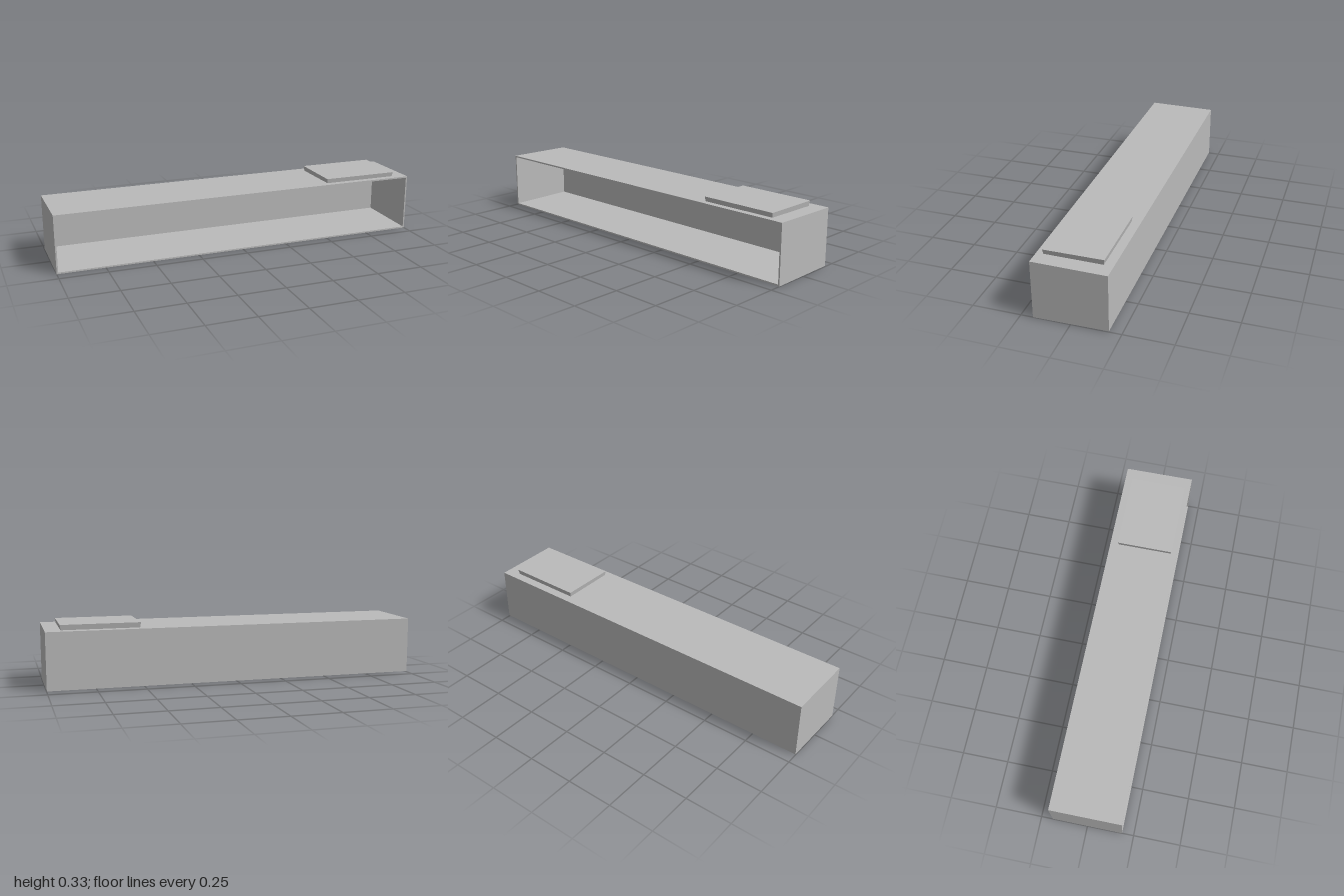
import * as THREE from 'three';

const LENGTH = 2, DEPTH = 0.376, BOTTOM = 0.003, TOP = 0.307, WALL = 0.008;

// Rectangle path, usable as an outline or as a hole
function rect(path, x0, y0, x1, y1) {
  path.moveTo(x0, y0).lineTo(x1, y0).lineTo(x1, y1).lineTo(x0, y1).closePath();
  return path;
}

// Move every vertex of a geometry by a rule
function reshape(geometry, rule) {
  const p = geometry.attributes.position, v = new THREE.Vector3();
  for (let i = 0; i < p.count; i++) {
    rule(v.fromBufferAttribute(p, i));
    p.setXYZ(i, v.x, v.y, v.z);
  }
  geometry.computeVertexNormals();
  return geometry;
}

// Top and bottom open very slightly toward the front
const splay = v => { v.y += Math.sign(v.y - 0.15) * 0.011 * v.z; };

export function createModel() {
  const group = new THREE.Group();
  const grey = new THREE.MeshStandardMaterial({ color: 0xbababa });
  grey.name = 'plain grey';

  const add = (name, geometry) => {
    const mesh = new THREE.Mesh(geometry, grey);
    mesh.name = name;
    group.add(mesh);
    return mesh;
  };

  // Four thin walls, open at the front
  const half = LENGTH / 2;
  const outline = rect(new THREE.Shape(), -half, BOTTOM, half, TOP);
  outline.holes.push(rect(new THREE.Path(), -half + WALL, BOTTOM + WALL, half - WALL, TOP - WALL));
  const walls = new THREE.ExtrudeGeometry(outline, { depth: DEPTH, bevelEnabled: false });
  walls.translate(0, 0, -DEPTH / 2);
  add('shellWalls', reshape(walls, splay));

  // Back panel, set inside the walls and flush with their rear edge
  const back = new THREE.BoxGeometry(LENGTH - WALL, TOP - BOTTOM - WALL, WALL);
  back.translate(0, (TOP + BOTTOM) / 2, -DEPTH / 2 + WALL / 2);
  add('backPanel', reshape(back, splay));

  // Raised pad on top, flaring slightly upward
  const pad = new THREE.BoxGeometry(0.414, 0.028, 0.302);
  reshape(pad, v => {
    if (v.y < 0) { v.x *= 0.98; v.z *= 0.97; }
  });
  add('topPad', pad).position.set(0.716, 0.319, 0.006);

  return group;
}
